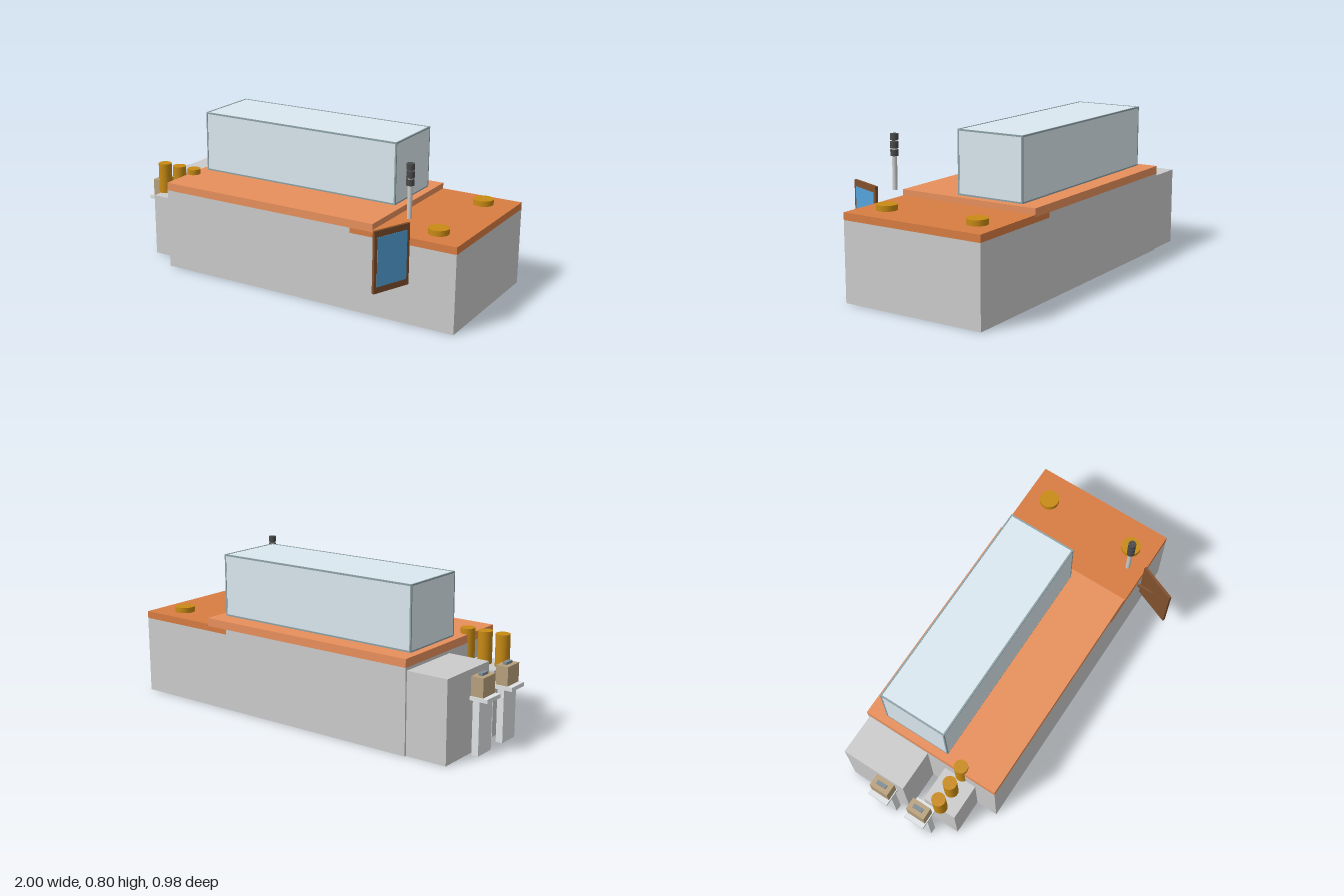
import * as THREE from 'three';

const mat = (color) => new THREE.MeshStandardMaterial({ color });
const grey = mat(0xcccccc), orange = mat(0xe8905c), darkOrange = mat(0xd87c42);
const gold = mat(0xc88a14), glass = mat(0xdbe9f0), frameGrey = mat(0x8fa3a8);
const tan = mat(0xb8a07c), slate = mat(0x7d8c96), brown = mat(0x80502c);
const blue = mat(0x55a4dc), dark = mat(0x4a4a4a), white = mat(0xe0e3e5);

export function createModel() {
  const model = new THREE.Group();

  const add = (name, geometry, material, parent) => {
    const mesh = new THREE.Mesh(geometry, material);
    mesh.name = name;
    parent.add(mesh);
    return mesh;
  };
  // Box given by its limits along each axis
  const box = (name, material, [x0, x1], [y0, y1], [z0, z1], parent = model) => {
    const mesh = add(name, new THREE.BoxGeometry(x1 - x0, y1 - y0, z1 - z0), material, parent);
    mesh.position.set((x0 + x1) / 2, (y0 + y1) / 2, (z0 + z1) / 2);
    return mesh;
  };
  // Upright cylinder between two heights
  const cylinder = (name, material, r, x, z, y0, y1, parent = model) => {
    const mesh = add(name, new THREE.CylinderGeometry(r, r, y1 - y0, 24), material, parent);
    mesh.position.set(x, (y0 + y1) / 2, z);
    return mesh;
  };

  // Cabinet, raised on the right, with its two cover plates
  const depth = [-0.49, 0.285];
  box('cabinet', grey, [-0.685, 1], [0, 0.404], depth);
  box('cabinetRise', grey, [-0.685, 0.43], [0.404, 0.43], depth);
  box('lowerPlate', darkOrange, [0.43, 0.556], [0.404, 0.43], depth);
  box('lowerPlateEnd', darkOrange, [0.556, 1], [0.404, 0.441], depth);
  box('upperPlate', orange, [-0.685, 0.556], [0.43, 0.472], depth);

  // Glass cover with thin bars along its edges
  const cover = new THREE.Group();
  cover.name = 'glassCover';
  model.add(cover);
  const gx = [-0.645, 0.515], gy = [0.472, 0.796], gz = [-0.393, -0.021], t = 0.008, e = 0.002;
  box('glass', glass, [gx[0] + e, gx[1] - e], [gy[0], gy[1] - e], [gz[0] + e, gz[1] - e], cover);
  const ends = ([a, b]) => [[a, a + t], [b - t, b]];
  for (const y of ends(gy)) {
    for (const z of ends(gz)) box('coverBarLong', frameGrey, gx, y, z, cover);
    for (const x of ends(gx)) box('coverBarShort', frameGrey, x, y, gz, cover);
  }
  for (const x of ends(gx))
    for (const z of ends(gz)) box('coverPost', frameGrey, x, gy, z, cover);

  // Side cabinets and the three canisters
  box('rearSideCabinet', grey, [-0.905, -0.685], [0, 0.415], [-0.48, -0.12]);
  box('frontSideCabinet', grey, [-0.875, -0.685], [0, 0.336], [-0.02, 0.165]);
  for (const x of [-0.865, -0.766, -0.667]) cylinder('canister', gold, 0.036, x, 0.075, 0.336, 0.5);

  // Round caps on the lower plate
  for (const z of [-0.365, 0.153]) cylinder('cap', gold, 0.052, 0.843, z, 0.441, 0.469);

  // Two stands carrying small control boxes
  for (const z of [-0.228, -0.005]) {
    const stand = new THREE.Group();
    stand.name = 'controlStand';
    stand.position.set(-0.94, 0, z);
    model.add(stand);
    box('leg', white, [-0.018, 0.018], [0, 0.266], [-0.058, 0.058], stand);
    box('shelf', white, [-0.06, 0.06], [0.266, 0.286], [-0.058, 0.058], stand);
    box('controlBox', tan, [-0.033, 0.033], [0.286, 0.382], [-0.053, 0.053], stand);
    box('switch', slate, [-0.01, 0.01], [0.382, 0.395], [-0.027, 0.027], stand);
  }

  // Angled screen on an arm
  box('screenArm', brown, [0.705, 0.717], [0.355, 0.375], [0.285, 0.385]);
  const screen = new THREE.Group();
  screen.name = 'screen';
  screen.position.set(0.714, 0, 0.389);
  screen.rotation.y = -0.38;
  model.add(screen);
  box('screenFrame', brown, [-0.007, 0.007], [0.21, 0.52], [-0.107, 0.107], screen);
  box('screenPanel', blue, [0.005, 0.009], [0.242, 0.488], [-0.09, 0.09], screen);

  // Signal lamp
  const lamp = new THREE.Group();
  lamp.name = 'signalLamp';
  lamp.position.set(0.712, 0, 0.208);
  model.add(lamp);
  cylinder('lampPole', grey, 0.012, 0, 0, 0.507, 0.71, lamp);
  for (const [y0, y1] of [[0.673, 0.703], [0.71, 0.742], [0.75, 0.78]])
    cylinder('lampLight', dark, 0.02, 0, 0, y0, y1, lamp);

  return model;
}
